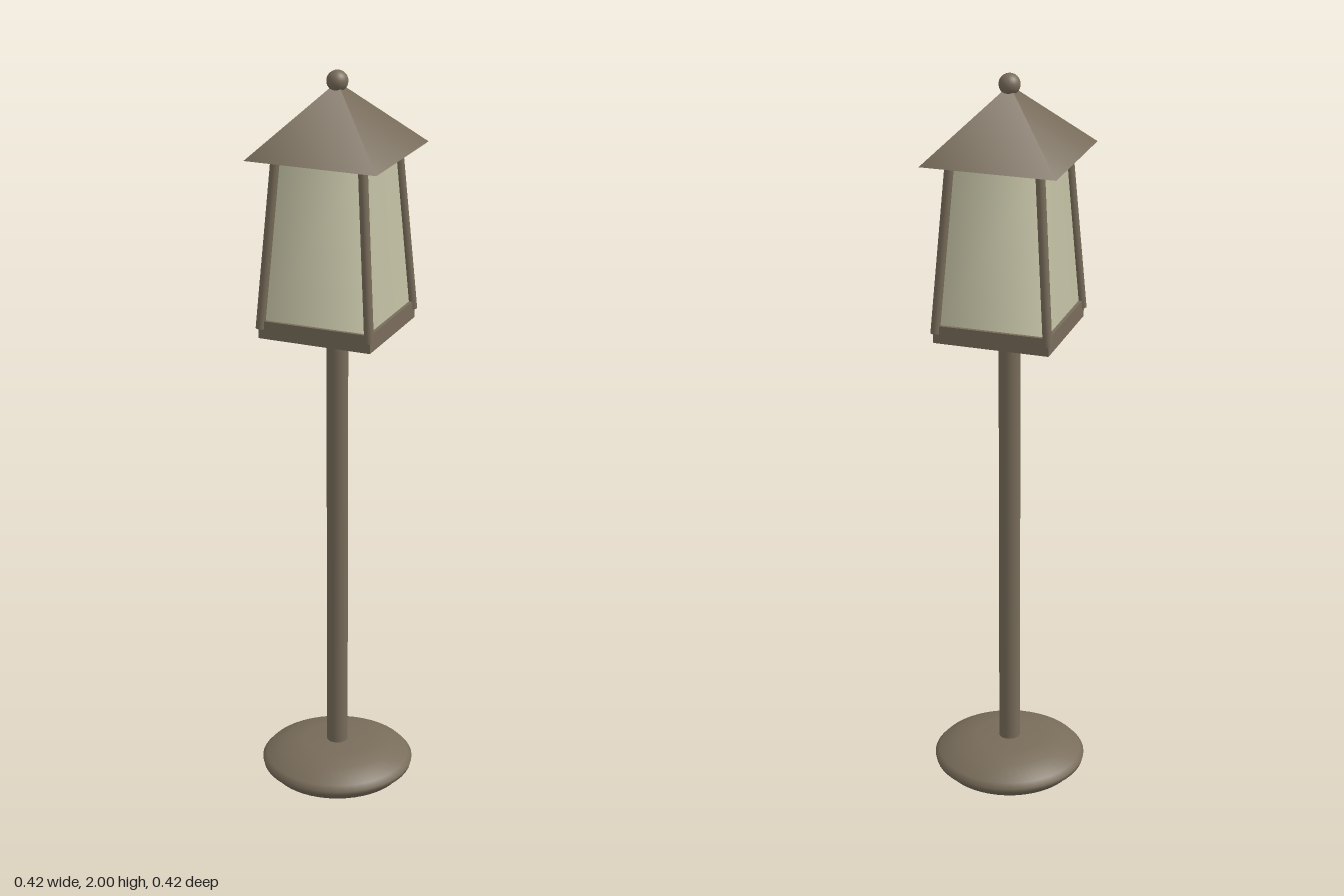
import * as THREE from 'three';

export function createModel() {
  const metal = new THREE.MeshStandardMaterial({ name: 'bronzeMetal', color: 0x786c5a });
  const glass = new THREE.MeshStandardMaterial({ name: 'frostedGlass', color: 0xcccaac });
  const model = new THREE.Group();
  model.name = 'lampPost';

  const add = (name, geometry, material, y) => {
    const mesh = new THREE.Mesh(geometry, material);
    mesh.name = name;
    mesh.position.y = y;
    model.add(mesh);
    return mesh;
  };
  // Four-sided tapered solid, sized by its half widths and aligned with the axes
  const taper = (top, bottom, height) =>
    new THREE.CylinderGeometry(top * Math.SQRT2, bottom * Math.SQRT2, height, 4).rotateY(Math.PI / 4);

  // Foot: rounded disc
  const profile = [[0, 0], [0.185, 0], [0.185, 0.005], [0.207, 0.022], [0.21, 0.035], [0.198, 0.048],
    [0.15, 0.075], [0.09, 0.086], [0, 0.089]];
  add('foot', new THREE.LatheGeometry(profile.map(([r, y]) => new THREE.Vector2(r, y)), 48), metal, 0);

  // Pole
  add('pole', new THREE.CylinderGeometry(0.029, 0.029, 1.25, 24), metal, 0.7);

  // Lantern: tray, glass body, roof and finial
  add('tray', new THREE.BoxGeometry(0.312, 0.048, 0.312), metal, 1.338);
  add('glassBody', taper(0.117, 0.147, 0.44), glass, 1.575);
  add('roof', taper(0, 0.18, 0.18), metal, 1.88);
  add('finial', new THREE.SphereGeometry(0.028, 24, 16), metal, 1.972);

  // Corner bars leaning inwards
  const up = new THREE.Vector3(0, 1, 0);
  for (const sx of [-1, 1]) for (const sz of [-1, 1]) {
    const low = new THREE.Vector3(sx * 0.152, 1.34, sz * 0.152);
    const high = new THREE.Vector3(sx * 0.119, 1.795, sz * 0.119);
    const axis = high.clone().sub(low);
    const bar = add('cornerBar', new THREE.CylinderGeometry(0.0125, 0.0125, axis.length(), 12), metal, 0);
    bar.position.copy(low).add(high).multiplyScalar(0.5);
    bar.quaternion.setFromUnitVectors(up, axis.normalize());
  }
  return model;
}
